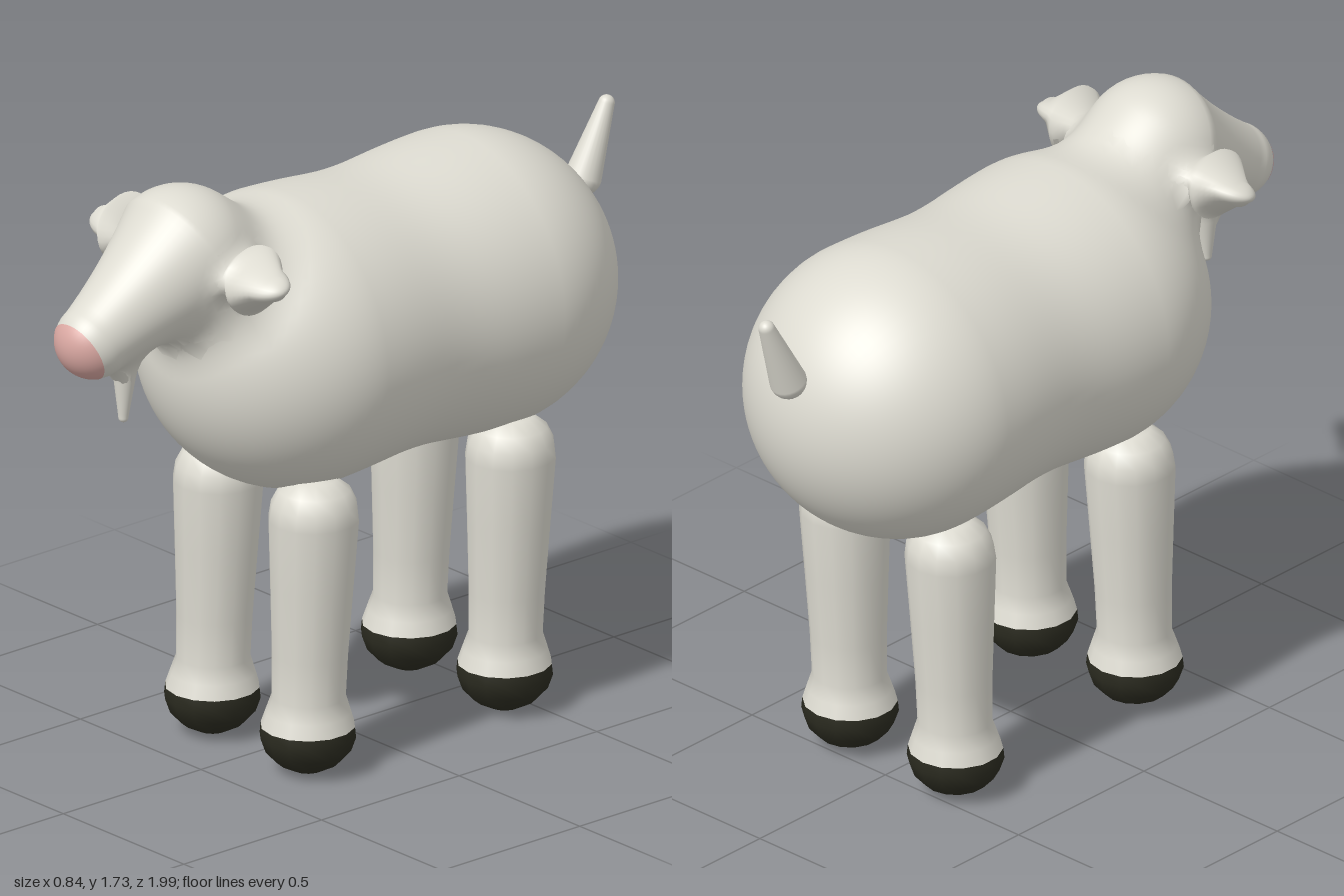
import * as THREE from 'three';

const V = (x, y, z) => new THREE.Vector3(x, y, z);
const { clamp, lerp } = THREE.MathUtils;

// Smooth union of two distances
function blend(a, b, k) {
  const h = Math.max(k - Math.abs(a - b), 0) / k;
  return Math.min(a, b) - h * h * k / 4;
}

// Distance to a rounded limb between a and b with a radius rule
const tmp = V(0, 0, 0);
function limb(p, a, b, radius) {
  const axis = tmp.subVectors(b, a);
  const t = clamp(((p.x - a.x) * axis.x + (p.y - a.y) * axis.y + (p.z - a.z) * axis.z) / axis.lengthSq(), 0, 1);
  const d = Math.hypot(p.x - a.x - axis.x * t, p.y - a.y - axis.y * t, p.z - a.z - axis.z * t);
  return d - radius(t);
}

const RUMP = V(0, 1.2, -0.455), CHEST = V(0, 1.2, 0.185);
const SKULL = V(0, 1.527, 0.575), MUZZLE = V(0, 1.367, 0.89);
const CHIN = V(0, 1.3, 0.775), BEARD_TIP = V(0, 1.112, 0.782);

// Flattened, slightly tilted ellipsoid for either ear
function earDistance(p) {
  const x = Math.abs(p.x) - 0.265, z = p.z - 0.54, y = p.y - 1.53 + 0.2 * z;
  const k0 = Math.hypot(x / 0.13, y / 0.04, z / 0.07);
  const k1 = Math.hypot(x / 0.0169, y / 0.0016, z / 0.0049);
  return k1 < 1e-6 ? -0.04 : k0 * (k0 - 1) / k1;
}

// Soft skin shared by body, head, ears and beard
function skin(p) {
  const body = limb(p, RUMP, CHEST, () => 0.422 - 0.022 * Math.exp(-(((p.z + 0.12) / 0.2) ** 2)));
  const head = limb(p, SKULL, MUZZLE, t => 0.206 - 0.099 * t * (1.4 - 0.4 * t));
  const beard = limb(p, CHIN, BEARD_TIP, t => lerp(0.042, 0.014, t));
  return blend(blend(blend(body, head, 0.15), earDistance(p), 0.06), beard, 0.06);
}

// Push a geometry from its axis outward until it meets the skin
function grow(geometry, from, to, length, reach, lift = 0) {
  const pos = geometry.attributes.position, nor = geometry.attributes.normal;
  const dir = to.clone().sub(from).normalize();
  const turn = new THREE.Quaternion().setFromUnitVectors(V(0, 1, 0), dir);
  const mid = from.clone().addScaledVector(dir, length / 2);
  const p = V(0, 0, 0), n = V(0, 0, 0), e = 0.002;
  const slope = axis => {
    const q = p.clone();
    q[axis] += e;
    const high = skin(q);
    q[axis] -= 2 * e;
    return high - skin(q);
  };
  for (let i = 0; i < pos.count; i++) {
    p.fromBufferAttribute(pos, i);
    const origin = V(0, clamp(p.y, -length / 2, length / 2), 0);
    const ray = p.clone().sub(origin).normalize().applyQuaternion(turn);
    origin.applyQuaternion(turn).add(mid);
    let t = 0;
    for (let s = 0; s < 80 && t < reach; s++) {
      const d = skin(p.copy(origin).addScaledVector(ray, t));
      if (d > -0.0003) break;
      t -= d * 0.8;
    }
    p.copy(origin).addScaledVector(ray, Math.min(t, reach));
    n.set(slope('x'), slope('y'), slope('z')).normalize();
    p.addScaledVector(n, lift);
    pos.setXYZ(i, p.x, p.y, p.z);
    nor.setXYZ(i, n.x, n.y, n.z);
  }
  return geometry;
}

function growLimb(a, b, reach, caps, sides, rows) {
  const length = a.distanceTo(b);
  return grow(new THREE.CapsuleGeometry(0.05, length, caps, sides, rows), a, b, length, reach);
}

export function createModel() {
  const group = new THREE.Group();
  const material = (name, color) => new THREE.MeshStandardMaterial({ name, color });
  const wool = material('cream', 0xdddbd1);
  const pink = material('nosePink', 0xdba9a3);
  const dark = material('hoofDark', 0x2b2b20);
  const add = (name, geometry, mat, parent = group) => {
    const mesh = new THREE.Mesh(geometry, mat);
    mesh.name = name;
    parent.add(mesh);
    return mesh;
  };

  // Body, head and beard
  add('body', growLimb(RUMP, CHEST, 0.52, 28, 64, 24), wool);
  add('head', growLimb(SKULL, MUZZLE, 0.27, 20, 56, 16), wool);
  add('beard', growLimb(CHIN, BEARD_TIP, 0.09, 8, 24, 16), wool);

  // Pink nose tip, a thin cap over the muzzle
  const noseCap = new THREE.SphereGeometry(1, 40, 14, 0, Math.PI * 2, 0, 1.04);
  add('nose', grow(noseCap, MUZZLE, MUZZLE.clone().add(V(0, -0.395, 0.92)), 0, 0.2, 0.002), pink);

  // Ears
  for (const side of [1, -1]) {
    const ear = growLimb(V(0.19 * side, 1.53, 0.54), V(0.35 * side, 1.53, 0.54), 0.1, 10, 32, 14);
    add(side > 0 ? 'leftEar' : 'rightEar', ear, wool);
  }

  // Tail: tapered rod with round ends
  const tailProfile = [];
  for (let i = 0; i <= 8; i++) {
    const a = -Math.PI / 2 + i / 8 * Math.PI / 2;
    tailProfile.push(new THREE.Vector2(Math.max(0.052 * Math.cos(a), 0), 0.052 * Math.sin(a)));
  }
  for (let i = 0; i <= 8; i++) {
    const a = i / 8 * Math.PI / 2;
    tailProfile.push(new THREE.Vector2(Math.max(0.023 * Math.cos(a), 0), 0.213 + 0.023 * Math.sin(a)));
  }
  const tail = add('tail', new THREE.LatheGeometry(tailProfile, 24), wool);
  tail.position.set(0, 1.385, -0.888);
  tail.rotation.x = -0.41;

  // Legs: turned profiles leaning slightly, with dark hooves
  const turned = points => {
    const geometry = new THREE.LatheGeometry(points.map(([r, y]) => new THREE.Vector2(r, y)), 14);
    const pos = geometry.attributes.position;
    for (let i = 0; i < pos.count; i++) pos.setZ(i, pos.getZ(i) - 0.035 * Math.max(pos.getY(i) - 0.14, 0));
    return geometry;
  };
  const shaft = turned([[0.131, 0.14], [0.118, 0.18], [0.103, 0.225], [0.106, 0.35], [0.116, 0.55],
    [0.126, 0.74], [0.12, 0.785], [0.1, 0.825], [0.06, 0.855], [0, 0.865]]);
  const hoof = turned([[0, 0.004], [0.045, 0.012], [0.088, 0.035], [0.12, 0.07], [0.134, 0.11], [0.131, 0.14]]);
  for (const [end, z] of [['front', 0.285], ['back', -0.43]]) {
    for (const [side, x] of [['Left', 0.198], ['Right', -0.198]]) {
      const leg = new THREE.Group();
      leg.name = `${end}${side}Leg`;
      leg.position.set(x, 0, z);
      add('shaft', shaft, wool, leg);
      add('hoof', hoof, dark, leg);
      group.add(leg);
    }
  }
  return group;
}
